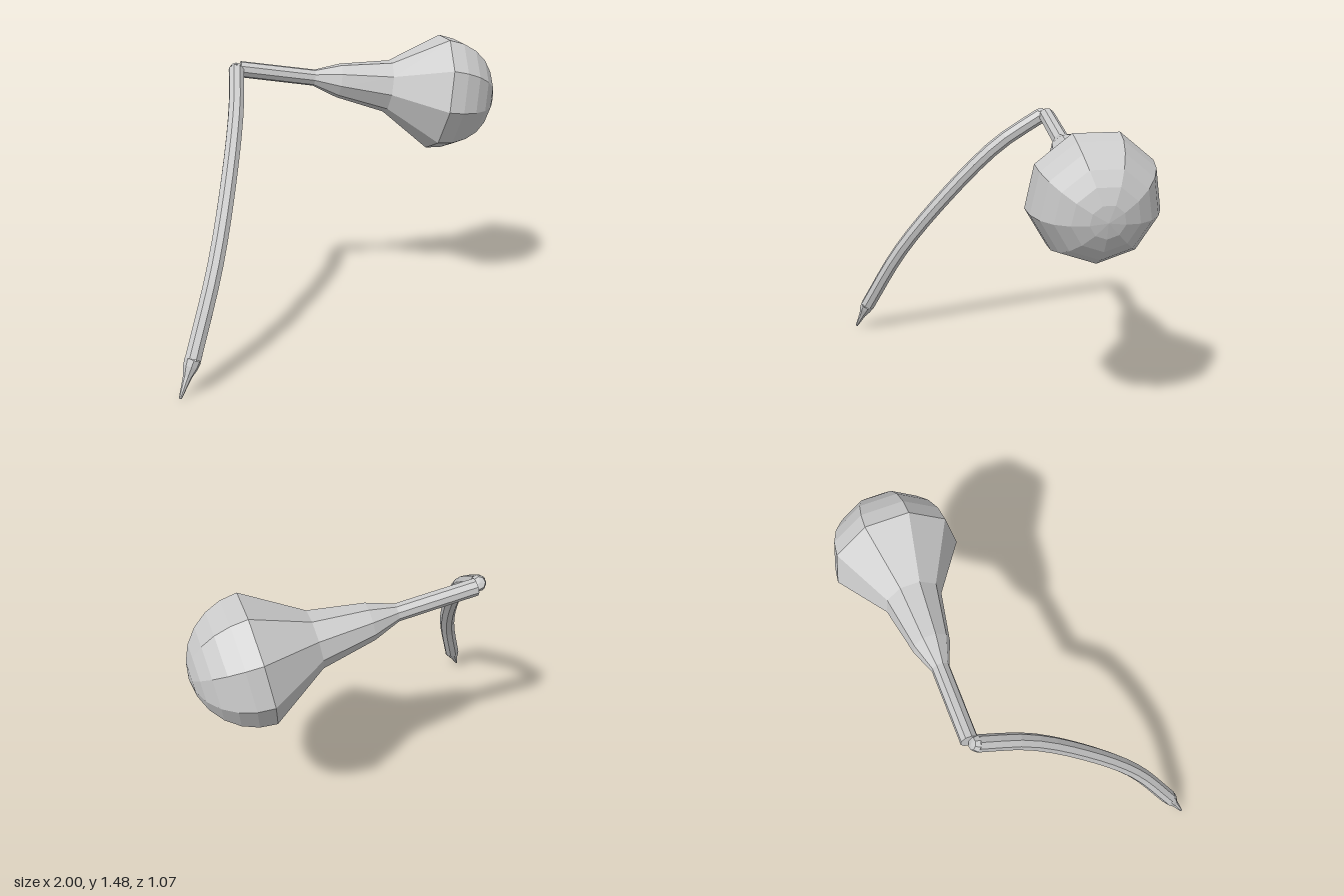
import * as THREE from 'three';

const material = new THREE.MeshStandardMaterial({ color: 0xcccccc, flatShading: true, side: THREE.DoubleSide });

// Faceted turned part: profile of [radius, height], height running along axis from origin,
// with one corner of every ring turned towards straight down
function turned(name, profile, sides, origin, axis) {
  const y = axis.clone().normalize();
  const z = new THREE.Vector3(0, -1, 0);
  z.addScaledVector(y, -z.dot(y)).normalize();
  const x = new THREE.Vector3().crossVectors(y, z);
  const geometry = new THREE.LatheGeometry(profile.map(([r, h]) => new THREE.Vector2(r, h)), sides);
  geometry.applyMatrix4(new THREE.Matrix4().makeBasis(x, y, z).setPosition(origin));
  const mesh = new THREE.Mesh(geometry, material);
  mesh.name = name;
  return mesh;
}

export function createModel() {
  const group = new THREE.Group();
  group.name = 'bulbOnCurvedStem';

  // Bulb: thin neck, flared body and a rounded nine-sided dome
  const joint = new THREE.Vector3(-0.368, 1.34, -0.435);
  const bulbAxis = new THREE.Vector3(1, -0.152, 0.203);
  const rimHeight = 1.083, rimRadius = 0.318;
  const bulb = [[0, 0], [0.043, 0], [0.044, 0.4], [0.092, 0.535], [0.142, 0.805]];
  for (let i = 0; i <= 6; i++) {
    const a = (i / 6) * Math.PI / 2;
    bulb.push([i === 6 ? 0 : rimRadius * Math.cos(a), rimHeight + rimRadius * Math.sin(a)]);
  }
  group.add(turned('bulb', bulb, 9, joint, bulbAxis));

  // Curved stem
  const path = new THREE.CatmullRomCurve3([
    [-0.915, 0.16, 0.475], [-0.75, 0.53, 0.31], [-0.6, 0.877, 0.075],
    [-0.47, 1.18, -0.19], [-0.395, 1.34, -0.415],
  ].map(p => new THREE.Vector3(...p)));
  const stem = new THREE.Mesh(new THREE.TubeGeometry(path, 14, 0.041, 8, false), material);
  stem.name = 'stem';
  group.add(stem);

  // Cap closing the stem at the joint
  group.add(turned('stemCap', [[0.041, 0], [0.03, 0.025], [0, 0.03]], 8, path.getPoint(1), path.getTangent(1)));

  // Pointed tip at the foot of the stem
  const foot = new THREE.Vector3(-0.996, 0.003, 0.53);
  const shoulder = path.getPoint(0);
  const tipAxis = shoulder.clone().sub(foot);
  const length = tipAxis.length();
  group.add(turned('tip', [[0, 0], [0.007, 0], [0.021, length * 0.55], [0.036, length * 0.82], [0.041, length]], 8, foot, tipAxis));

  return group;
}
